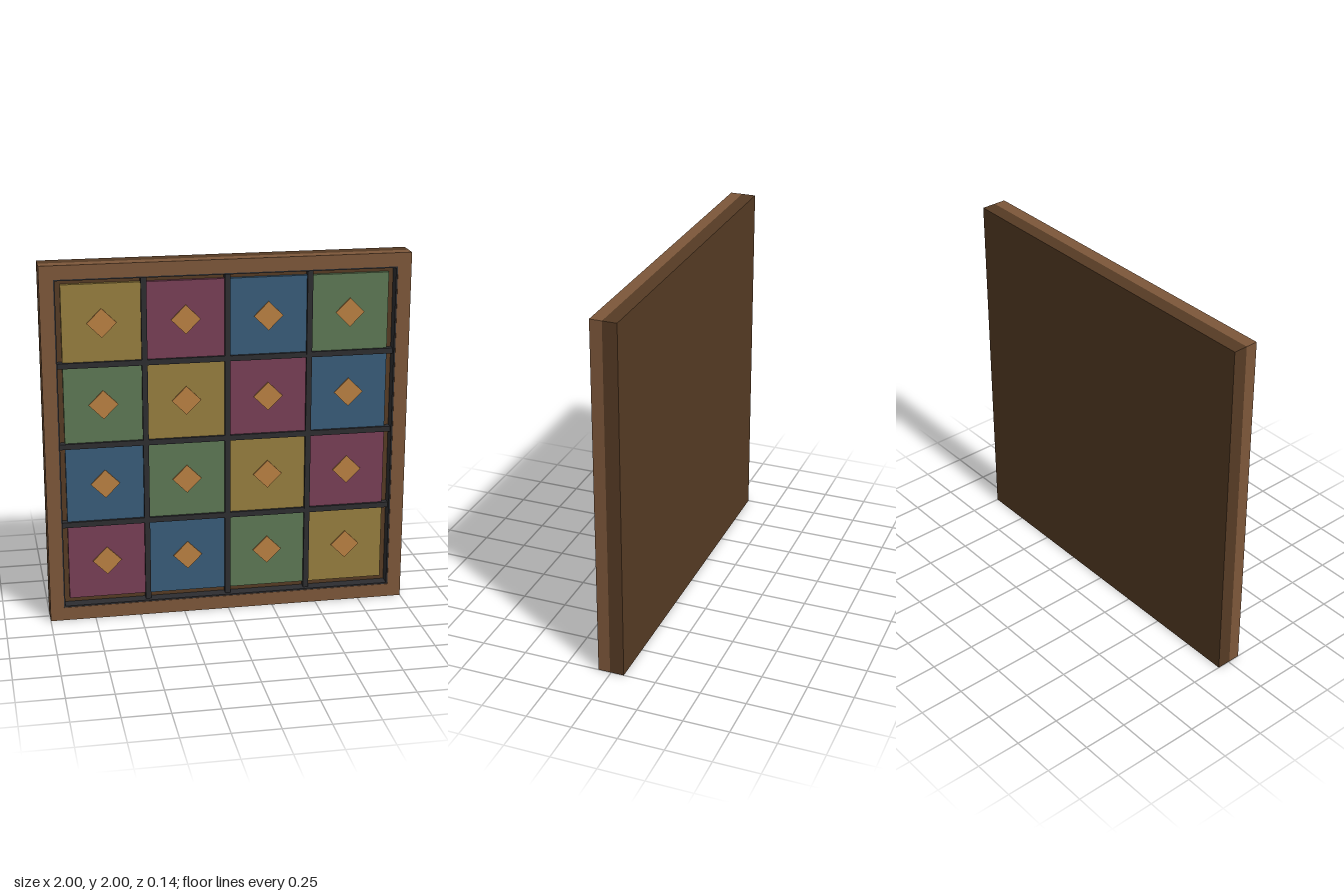
import * as THREE from 'three';

const paint = (name, color) => {
  const m = new THREE.MeshStandardMaterial({ color });
  m.name = name;
  return m;
};

export function createModel() {
  const group = new THREE.Group();
  const frameWood = paint('frame wood', 0x7d573a);
  const backWood = paint('dark backing wood', 0x563b24);
  const lead = paint('dark metal', 0x2d2d30);
  const copper = paint('copper', 0xb98042);
  const tiles = [
    paint('ochre', 0x967e3e),
    paint('plum', 0x773e55),
    paint('blue', 0x385c79),
    paint('green', 0x5d7854),
  ];

  // Box centred on x, y and spanning z0 to z1
  const box = (name, mat, w, h, x, y, z0, z1) => {
    const mesh = new THREE.Mesh(new THREE.BoxGeometry(w, h, z1 - z0), mat);
    mesh.position.set(x, y, (z0 + z1) / 2);
    mesh.name = name;
    group.add(mesh);
    return mesh;
  };

  const back = -0.072, face = 0.006, front = 0.072;
  const border = 0.075, inner = 1 - border, trim = 0.008;

  box('backPanel', backWood, 2, 2, 0, 1, back, face);

  // Outer frame and the thin dark trim lining its opening
  for (const s of [-1, 1]) {
    box('frameStile', frameWood, border, 2, s * (1 - border / 2), 1, face, front);
    box('frameRail', frameWood, 2 * inner, border, 0, 1 + s * (1 - border / 2), face, front);
    box('trimSide', lead, trim, 2 * inner, s * (inner - trim / 2), 1, face, front - 0.003);
    box('trimEnd', lead, 2 * (inner - trim), trim, 0, 1 + s * (inner - trim / 2), face, front - 0.003);
  }

  // Dividing bars
  const span = 2 * (inner - trim);
  for (const p of [-0.45, 0, 0.45]) {
    box('verticalBar', lead, 0.03, span, p, 1, face, 0.047);
    box('horizontalBar', lead, span, 0.03, 0, 1 + p, face, 0.045);
  }

  // Tiles, their colours shifting one step per row, each with a diamond stud
  for (let row = 0; row < 4; row++) {
    for (let col = 0; col < 4; col++) {
      const x = (col - 1.5) * 0.45, y = 1 - (row - 1.5) * 0.45;
      box('tile', tiles[(col - row + 4) % 4], 0.425, 0.425, x, y, face, 0.03);
      box('diamond', copper, 0.113, 0.113, x, y, 0.03, 0.039).rotation.z = Math.PI / 4;
    }
  }

  return group;
}
